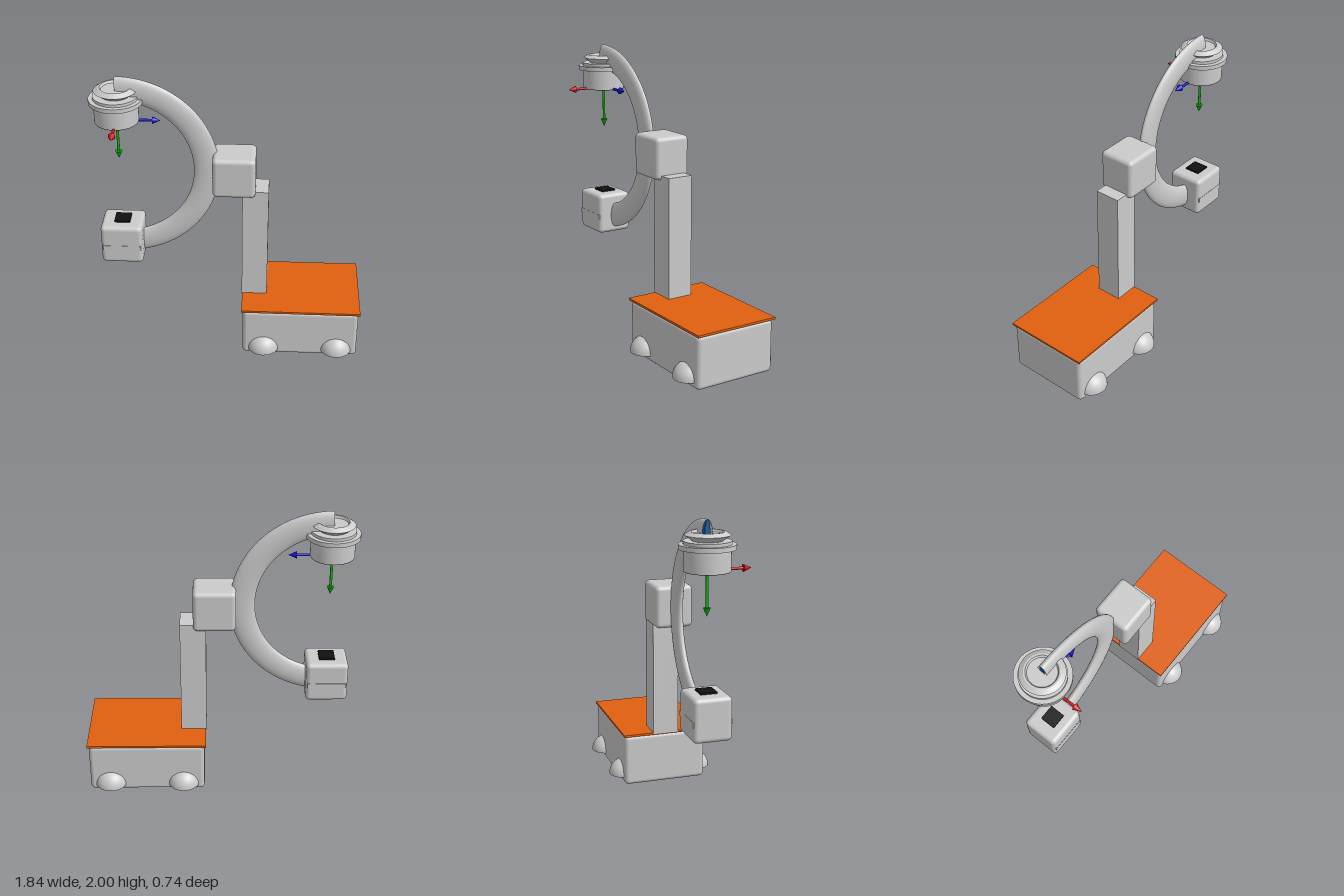
import * as THREE from 'three';
import { RoundedBoxGeometry } from 'three/addons/geometries/RoundedBoxGeometry.js';
import { toCreasedNormals } from 'three/addons/utils/BufferGeometryUtils.js';

const HEAD_X = -0.743;
const ARC_Y = 1.33;

const paint = (color, side = THREE.FrontSide) => new THREE.MeshStandardMaterial({ color, side });

export function createModel() {
  const model = new THREE.Group();
  model.name = 'cArmScanner';
  const grey = paint(0xcccccc);
  const greyOpen = paint(0xcccccc, THREE.DoubleSide);
  const black = paint(0x111111);
  const blue = paint(0x1a5c9e);

  function add(name, geometry, material, x, y, z, parent = model) {
    const mesh = new THREE.Mesh(geometry, material);
    mesh.name = name;
    mesh.position.set(x, y, z);
    parent.add(mesh);
    return mesh;
  }
  // Box given by its extents in x and y and its half depth; rounded when r > 0
  function block(name, x0, x1, y0, y1, halfZ, r, material = grey) {
    const w = x1 - x0, h = y1 - y0, d = halfZ * 2;
    const geometry = r ? new RoundedBoxGeometry(w, h, d, 4, r) : new THREE.BoxGeometry(w, h, d);
    return add(name, geometry, material, (x0 + x1) / 2, (y0 + y1) / 2, 0);
  }

  // Cart, column and clamp
  block('cartBody', 0.1, 0.905, 0, 0.365, 0.295, 0.03);
  block('cartTop', 0.09, 0.915, 0.363, 0.378, 0.302, 0, paint(0xe0600f));
  block('column', 0.085, 0.262, 0.37, 1.215, 0.09, 0);
  block('clamp', -0.115, 0.172, 1.183, 1.47, 0.128, 0.03);

  // Wheel covers, open underneath
  const dome = new THREE.SphereGeometry(0.11, 32, 12, 0, Math.PI * 2, 0, Math.PI / 2);
  for (const x of [0.247, 0.76]) {
    for (const side of [-1, 1]) add('wheelCover', dome, greyOpen, x, 0.043, side * 0.262);
  }

  // C-shaped arm with an oval section, and its coloured core
  function arc(name, thickness, halfZ, material) {
    const geometry = new THREE.TorusGeometry(0.585, thickness, 24, 80, Math.PI);
    geometry.rotateZ(-Math.PI / 2);
    geometry.scale(1, 1, halfZ / thickness);
    return add(name, geometry, material, HEAD_X, ARC_Y, 0);
  }
  arc('cArm', 0.085, 0.033, greyOpen);
  arc('cArmCore', 0.084, 0.018, blue);
  const cap = new THREE.CircleGeometry(1, 24);
  cap.rotateY(-Math.PI / 2);
  cap.scale(1, 0.084, 0.018);
  add('cArmCoreEnd', cap, blue, HEAD_X, ARC_Y + 0.585, 0);

  // X-ray source box with side strips and a dark window
  block('sourceBox', -0.887, -0.6, 0.633, 0.922, 0.128, 0.03);
  block('sourceWindow', -0.797, -0.689, 0.915, 0.935, 0.054, 0, black);
  for (const side of [-1, 1]) {
    add('sourceStrip', new THREE.BoxGeometry(0.262, 0.034, 0.01), grey, HEAD_X, 0.758, side * 0.125);
  }

  // Detector head turned from a profile
  const profile = [
    [0, 1.69], [0.146, 1.69], [0.146, 1.823], [0.178, 1.823], [0.178, 1.853],
    [0.149, 1.853], [0.149, 1.873], [0.095, 1.873], [0.142, 1.908], [0.112, 1.928],
    [0.1, 1.928], [0.092, 1.912], [0, 1.912],
  ].map(([r, y]) => new THREE.Vector2(r, y));
  const head = toCreasedNormals(new THREE.LatheGeometry(profile, 48), 0.4);
  add('detectorHead', head, grey, HEAD_X, 0, 0);
  add('detectorFace', new THREE.CylinderGeometry(0.145, 0.145, 0.004, 48), black, HEAD_X, 1.689, 0);

  // Three axis arrows from the centre of the detector face
  function arrow(name, color, rx, rz) {
    const group = new THREE.Group();
    group.name = name;
    const material = paint(color);
    add('shaft', new THREE.CylinderGeometry(0.009, 0.009, 0.235, 16), material, 0, 0.1175, 0, group);
    add('tip', new THREE.ConeGeometry(0.024, 0.055, 24), material, 0, 0.2605, 0, group);
    group.position.set(HEAD_X, 1.692, 0);
    group.rotation.set(rx, 0, rz);
    model.add(group);
  }
  arrow('sideArrow', 0x1010cc, 0, -Math.PI / 2);
  arrow('downArrow', 0x10b010, Math.PI, 0);
  arrow('frontArrow', 0xcc1010, Math.PI / 2, 0);

  return model;
}
